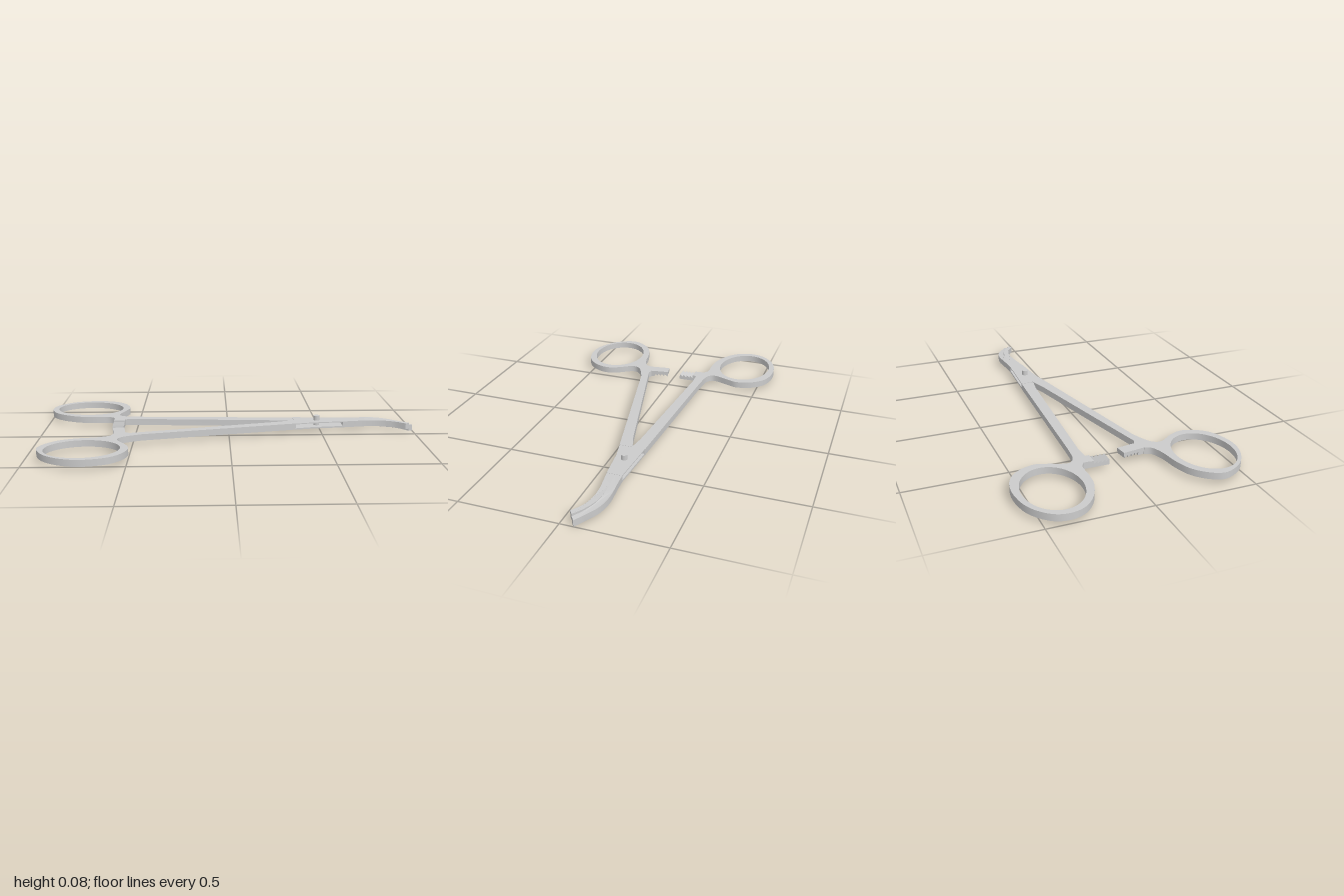
import * as THREE from 'three';
import { toCreasedNormals } from 'three/addons/utils/BufferGeometryUtils.js';

const material = new THREE.MeshStandardMaterial({ color: 0xcccccc });

// Points are written as [x, z]; shapes are drawn with z negated, then laid flat.
const vec = ([x, z]) => new THREE.Vector2(x, -z);

function mesh(name, geometry) {
  const m = new THREE.Mesh(toCreasedNormals(geometry, 0.5), material);
  m.name = name;
  return m;
}

// Flat plate between two heights
function plate(shape, y0, y1) {
  const g = new THREE.ExtrudeGeometry(shape, { depth: y1 - y0, bevelEnabled: false, curveSegments: 40 });
  return g.rotateX(-Math.PI / 2).translate(0, y0, 0);
}

// Shank, fillet and finger ring in one outline, with the finger hole
function handle(name, { outer, ring, inner, hole, tilt, y0, y1 }) {
  const outline = [
    ...outer.map(vec),
    ...new THREE.SplineCurve([outer.at(-1), ...ring].map(vec)).getPoints(72).slice(1),
    ...inner.map(vec),
  ];
  const shape = new THREE.Shape(outline);
  const path = new THREE.Path();
  path.absellipse(hole[0], -hole[1], 0.184, 0.142, 0, Math.PI * 2, false, tilt);
  shape.holes.push(path);
  return mesh(name, plate(shape, y0, y1));
}

// Ratchet tab with saw teeth on top, running along +z from its root
function ratchet(name, length, teeth) {
  const s = new THREE.Shape();
  const pitch = 0.08 / teeth, start = length - 0.08;
  s.moveTo(-0.015, 0);
  s.lineTo(-0.015, 0.033);
  s.lineTo(start, 0.033);
  for (let i = 0; i < teeth; i++) {
    s.lineTo(start + i * pitch, 0.016);
    s.lineTo(start + (i + 0.85) * pitch, 0.028);
  }
  s.lineTo(length, 0.014);
  s.lineTo(length, 0);
  const g = new THREE.ExtrudeGeometry(s, { depth: 0.06, bevelEnabled: false });
  return mesh(name, g.rotateY(-Math.PI / 2).translate(0.03, 0, 0));
}

// Half of the curved jaw; it sinks towards the tip by the given drop
function jaw(name, sideA, sideB, drop) {
  const a = new THREE.SplineCurve(sideA.map(vec)).getPoints(24);
  const b = new THREE.SplineCurve(sideB.map(vec)).getPoints(24).reverse();
  const g = plate(new THREE.Shape([...a, ...b]), 0.02, 0.053);
  const p = g.attributes.position;
  for (let i = 0; i < p.count; i++) {
    const t = THREE.MathUtils.clamp((p.getX(i) - 0.76) / 0.24, 0, 1);
    p.setY(i, p.getY(i) - drop * Math.pow(t, 1.4));
  }
  g.computeVertexNormals();
  return mesh(name, g);
}

export function createModel() {
  const group = new THREE.Group();
  group.name = 'lockingForceps';

  // Two handles with finger rings
  group.add(handle('backHandle', {
    outer: [[0.36, -0.16], [-0.467, -0.2]],
    ring: [[-0.56, -0.21], [-0.6, -0.235], [-0.6, -0.275], [-0.575, -0.34], [-0.56, -0.4],
      [-0.59, -0.485], [-0.66, -0.545], [-0.77, -0.565], [-0.89, -0.54], [-0.975, -0.47],
      [-1, -0.39], [-0.975, -0.31], [-0.91, -0.25], [-0.82, -0.21], [-0.74, -0.2],
      [-0.66, -0.2], [-0.625, -0.18]],
    inner: [[-0.625, -0.15], [-0.565, -0.15], [-0.5, -0.155], [0.27, -0.105], [0.33, -0.096], [0.36, -0.085]],
    hole: [-0.783, -0.39], tilt: -0.08, y0: 0.018, y1: 0.052,
  }));
  group.add(handle('frontHandle', {
    outer: [[0.36, -0.029], [-0.45, 0.15]],
    ring: [[-0.53, 0.185], [-0.565, 0.22], [-0.56, 0.26], [-0.52, 0.32], [-0.498, 0.39],
      [-0.525, 0.47], [-0.59, 0.53], [-0.7, 0.558], [-0.8, 0.54], [-0.89, 0.48],
      [-0.94, 0.39], [-0.925, 0.32], [-0.86, 0.25], [-0.77, 0.215], [-0.68, 0.2],
      [-0.615, 0.175], [-0.598, 0.14]],
    inner: [[-0.535, 0.115], [-0.515, 0.125], [0.27, -0.067], [0.33, -0.088], [0.36, -0.095]],
    hole: [-0.722, 0.388], tilt: 0.05, y0: 0.021, y1: 0.055,
  }));

  // Ratchet tabs: teeth up on the back one, teeth down on the front one
  const backRatchet = ratchet('backRatchet', 0.1, 4);
  backRatchet.position.set(-0.595, 0.018, -0.15);
  const frontRatchet = ratchet('frontRatchet', 0.105, 4);
  frontRatchet.rotation.set(0, 0.15, Math.PI, 'YXZ');
  frontRatchet.rotation.y += Math.PI;
  frontRatchet.position.set(-0.567, 0.055, 0.128);
  group.add(backRatchet, frontRatchet);

  // Box joint: two cheeks with an open slot between them
  const joint = [[0.355, -0.16], [0.455, -0.155], [0.625, -0.145], [0.625, -0.068], [0.456, -0.05], [0.355, -0.028]];
  [['lowerJointCheek', 0.02, 0.028], ['upperJointCheek', 0.049, 0.054]].forEach(([name, y0, y1]) =>
    group.add(mesh(name, plate(new THREE.Shape(joint.map(vec)), y0, y1))));

  // Hinge pin
  const pin = mesh('hingePin', new THREE.CylinderGeometry(0.016, 0.016, 0.06, 24));
  pin.position.set(0.48, 0.05, -0.1);
  group.add(pin);

  // Curved jaws, split along the middle
  const back = [[0.62, -0.145], [0.7, -0.15], [0.8, -0.157], [0.885, -0.14], [0.953, -0.1], [1, -0.067]];
  const front = [[0.62, -0.068], [0.7, -0.08], [0.76, -0.088], [0.83, -0.088], [0.9, -0.07], [0.956, -0.034]];
  const middle = back.map(([x, z], i) => [(x + front[i][0]) / 2, (z + front[i][1]) / 2]);
  group.add(jaw('backJaw', back, middle, 0.02), jaw('frontJaw', middle, front, 0.006));

  return group;
}
